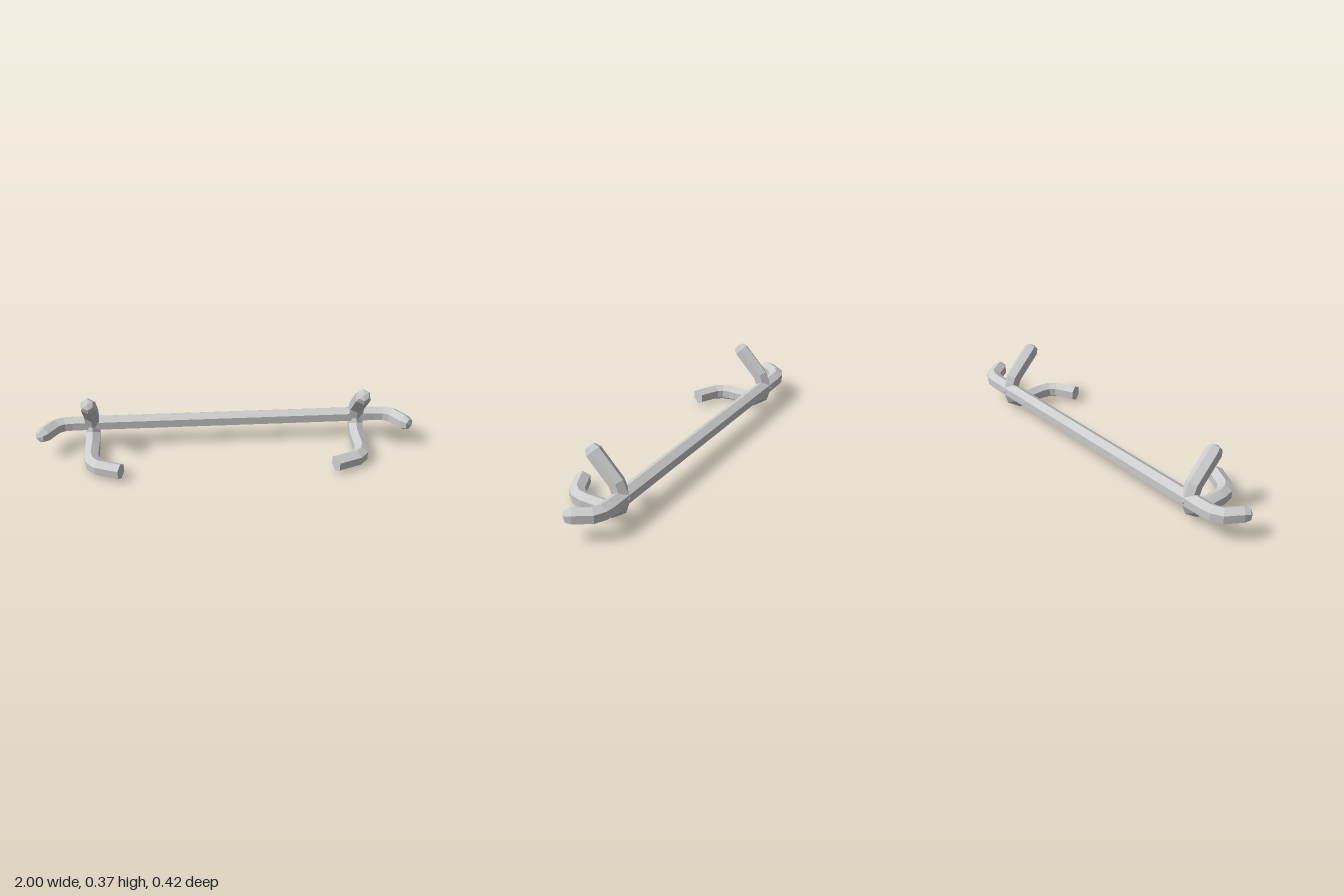
import * as THREE from 'three';

const SIDES = 6;
const RADIUS = 0.0427;

// Sweeps a mitred hexagonal section along points [x, y, z, scale]; each end closes to an apex
function sweep(points, startUp, startTip, endTip) {
  const path = points.map(p => new THREE.Vector3(p[0], p[1], p[2]));
  const last = path.length - 1;
  const dirs = path.slice(1).map((p, i) => p.clone().sub(path[i]).normalize());
  const up = new THREE.Vector3(...startUp);
  const verts = [], index = [];

  path.forEach((centre, i) => {
    const before = dirs[Math.max(i - 1, 0)], after = dirs[Math.min(i, last - 1)];
    const tangent = before.clone().add(after).normalize();
    const bend = after.clone().sub(before).normalize();
    const mitre = 1 / tangent.dot(before) - 1;
    up.addScaledVector(tangent, -up.dot(tangent)).normalize();
    const side = tangent.clone().cross(up);
    for (let k = 0; k < SIDES; k++) {
      const a = k / SIDES * Math.PI * 2;
      const offset = up.clone().multiplyScalar(Math.cos(a)).addScaledVector(side, Math.sin(a));
      offset.addScaledVector(bend, offset.dot(bend) * mitre);
      const v = centre.clone().addScaledVector(offset, RADIUS * (points[i][3] ?? 1));
      verts.push(v.x, v.y, v.z);
    }
  });
  const startApex = path[0].clone().addScaledVector(dirs[0], -startTip);
  const endApex = path[last].clone().addScaledVector(dirs[last - 1], endTip);
  verts.push(...startApex.toArray(), ...endApex.toArray());

  const apex = (last + 1) * SIDES;
  for (let k = 0; k < SIDES; k++) {
    const n = (k + 1) % SIDES;
    for (let i = 0; i < last; i++) {
      const a = i * SIDES, b = a + SIDES;
      index.push(a + k, a + n, b + k, a + n, b + n, b + k);
    }
    index.push(n, k, apex, last * SIDES + k, last * SIDES + n, apex + 1);
  }
  const geometry = new THREE.BufferGeometry();
  geometry.setAttribute('position', new THREE.Float32BufferAttribute(verts, 3));
  geometry.setIndex(index);
  const flat = geometry.toNonIndexed();
  flat.computeVertexNormals();
  return flat;
}

export function createModel() {
  const group = new THREE.Group();
  const metal = new THREE.MeshStandardMaterial({ color: 0xcccccc, flatShading: true });
  metal.name = 'light grey metal';

  const add = (name, geometry) => {
    const mesh = new THREE.Mesh(geometry, metal);
    mesh.name = name;
    group.add(mesh);
  };

  // Long cross bar with ends curving forward
  const barEnd = [
    [0.815, 0.133, -0.173], [0.865, 0.133, -0.168], [0.908, 0.133, -0.146],
    [0.96, 0.133, -0.07], [0.98, 0.133, -0.046, 0.7],
  ];
  const mirrored = barEnd.map(([x, ...rest]) => [-x, ...rest]).reverse();
  add('crossBar', sweep([...mirrored, ...barEnd], [0, 1, 0], 0.009, 0.009));

  // Bracket on each side: upper arm, bend behind the bar, then a lower foot hooking inward
  for (const s of [1, -1]) {
    const x = 0.711 * s;
    add(s > 0 ? 'leftBracket' : 'rightBracket', sweep([
      [x, 0.347, 0.001, 0.7], [x, 0.329, -0.018], [x, 0.203, -0.142],
      [x, 0.133, -0.171], [x, 0.083, -0.156], [x, 0.0435, -0.1],
      [x, 0.0435, 0.04], [0.7 * s, 0.0435, 0.088], [0.668 * s, 0.0445, 0.125],
      [0.555 * s, 0.048, 0.174],
    ], [0, 1, -1], 0.009, 0));
  }
  return group;
}
